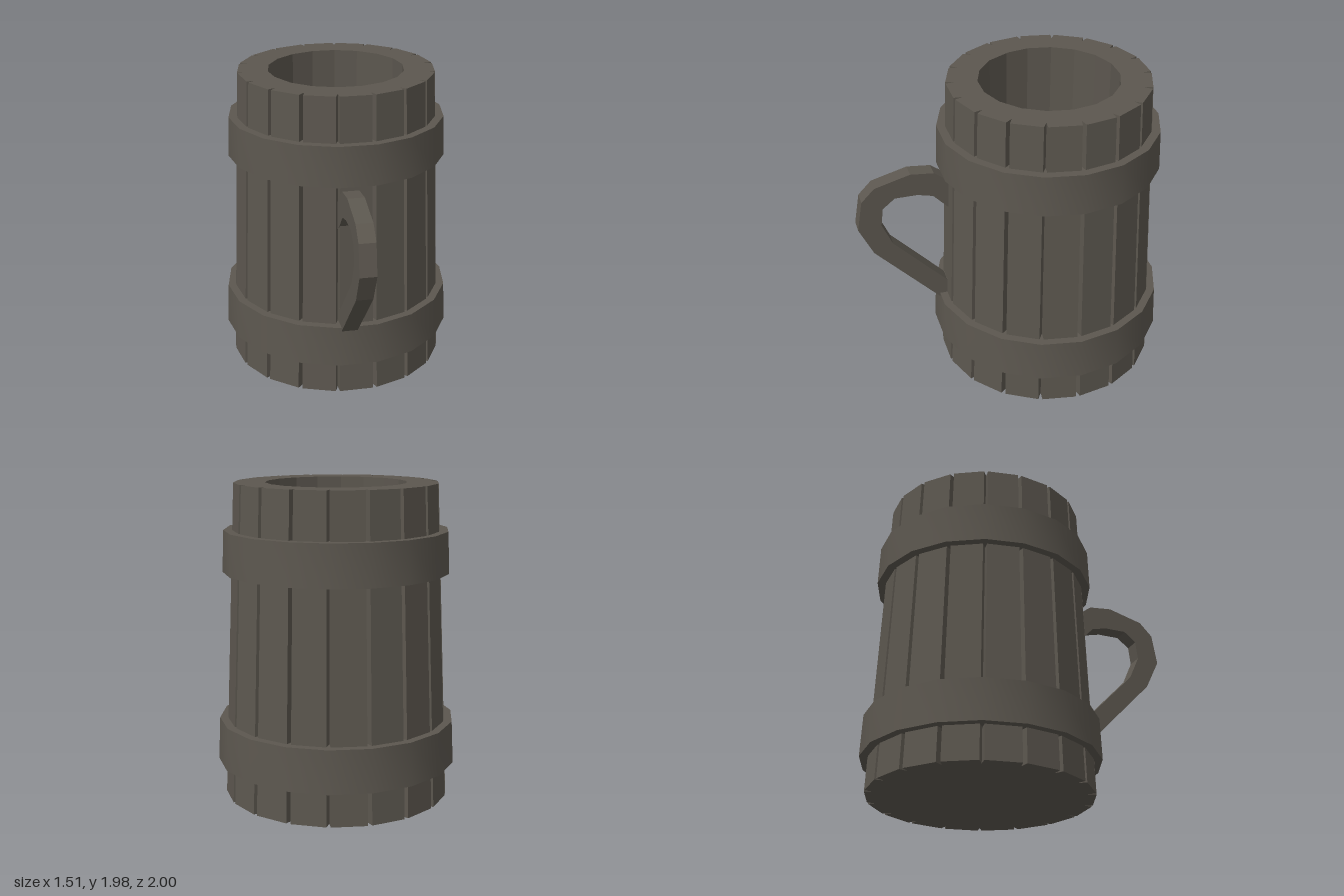
import * as THREE from 'three';
import { toCreasedNormals } from 'three/addons/utils/BufferGeometryUtils.js';

const STAVES = 18;
const STEP = (Math.PI * 2) / STAVES;
const TURN = THREE.MathUtils.degToRad(2); // angle of the first groove
const HEIGHT = 1.98;
const R_BOTTOM = 0.715;
const R_TOP = 0.635;
const R_CAVITY = 0.44;

const polar = (r, a) => new THREE.Vector2(r * Math.sin(a), -r * Math.cos(a));

// Ring of staves with V grooves, tapered towards the rim
function stavesGeometry() {
  const half = THREE.MathUtils.degToRad(1.1);
  const outline = [];
  const hole = [];
  for (let i = 0; i < STAVES; i++) {
    const a = TURN + i * STEP;
    outline.push(polar(R_BOTTOM, a - half), polar(R_BOTTOM - 0.06, a), polar(R_BOTTOM, a + half));
    hole.push(polar(R_CAVITY, a));
  }
  const shape = new THREE.Shape(outline);
  shape.holes.push(new THREE.Path(hole));
  const geo = new THREE.ExtrudeGeometry(shape, { depth: HEIGHT, bevelEnabled: false });
  geo.rotateX(-Math.PI / 2);
  const p = geo.attributes.position;
  for (let i = 0; i < p.count; i++) {
    const x = p.getX(i), y = p.getY(i), z = p.getZ(i);
    if (Math.hypot(x, z) < 0.5) continue; // the cavity stays straight
    const s = THREE.MathUtils.lerp(1, R_TOP / R_BOTTOM, y / HEIGHT);
    p.setXYZ(i, x * s, y, z * s);
  }
  geo.computeVertexNormals();
  return geo;
}

// Band with a rectangular section, following the staves' taper
function hoopGeometry(y0, y1, r0, r1) {
  const profile = [[0.6, y0], [r0, y0], [r1, y1], [0.6, y1]];
  const geo = new THREE.LatheGeometry(profile.map(([r, y]) => new THREE.Vector2(r, y)), STAVES, TURN);
  return toCreasedNormals(geo, 0.6);
}

// Curved handle cut from a flat plank; x is the distance from its root
function handleGeometry() {
  const points = [
    [-0.14, 1.28], [-0.07, 1.36], [0.02, 1.425], [0.17, 1.44], [0.4, 1.377], [0.485, 1.29],
    [0.52, 1.09], [0.43, 0.9], [0.01, 0.46], [-0.14, 0.46], [-0.14, 0.68],
    [-0.04, 0.59], [0.305, 0.95], [0.37, 1.1], [0.355, 1.22], [0.275, 1.285],
    [0.13, 1.285], [0.03, 1.26], [-0.06, 1.165], [-0.14, 1.1],
  ];
  const width = 0.105;
  const shape = new THREE.Shape(points.map(([d, y]) => new THREE.Vector2(d, y)));
  const geo = new THREE.ExtrudeGeometry(shape, { depth: width, bevelEnabled: false });
  geo.translate(0, 0, -width / 2);
  geo.rotateY(-Math.PI / 2);
  return geo;
}

export function createModel() {
  const model = new THREE.Group();
  model.name = 'mug';
  const wood = new THREE.MeshStandardMaterial({ color: 0x5c574f });
  wood.name = 'darkWood';

  const body = new THREE.Group();
  body.name = 'body';
  body.position.z = -0.24;
  model.add(body);

  const add = (parent, name, geo) => {
    const mesh = new THREE.Mesh(geo, wood);
    mesh.name = name;
    parent.add(mesh);
    return mesh;
  };

  add(body, 'staves', stavesGeometry());
  add(body, 'lowerHoop', hoopGeometry(0.22, 0.49, 0.76, 0.748));
  add(body, 'upperHoop', hoopGeometry(1.43, 1.69, 0.712, 0.702));

  // Solid base closing the cavity
  const base = add(body, 'base', new THREE.CylinderGeometry(0.45, 0.45, 0.2, STAVES));
  base.position.y = 0.1;
  base.rotation.y = TURN;

  const handle = add(model, 'handle', handleGeometry());
  handle.position.set(0.097, 0, 0.48);
  handle.rotation.y = THREE.MathUtils.degToRad(12);
  return model;
}
